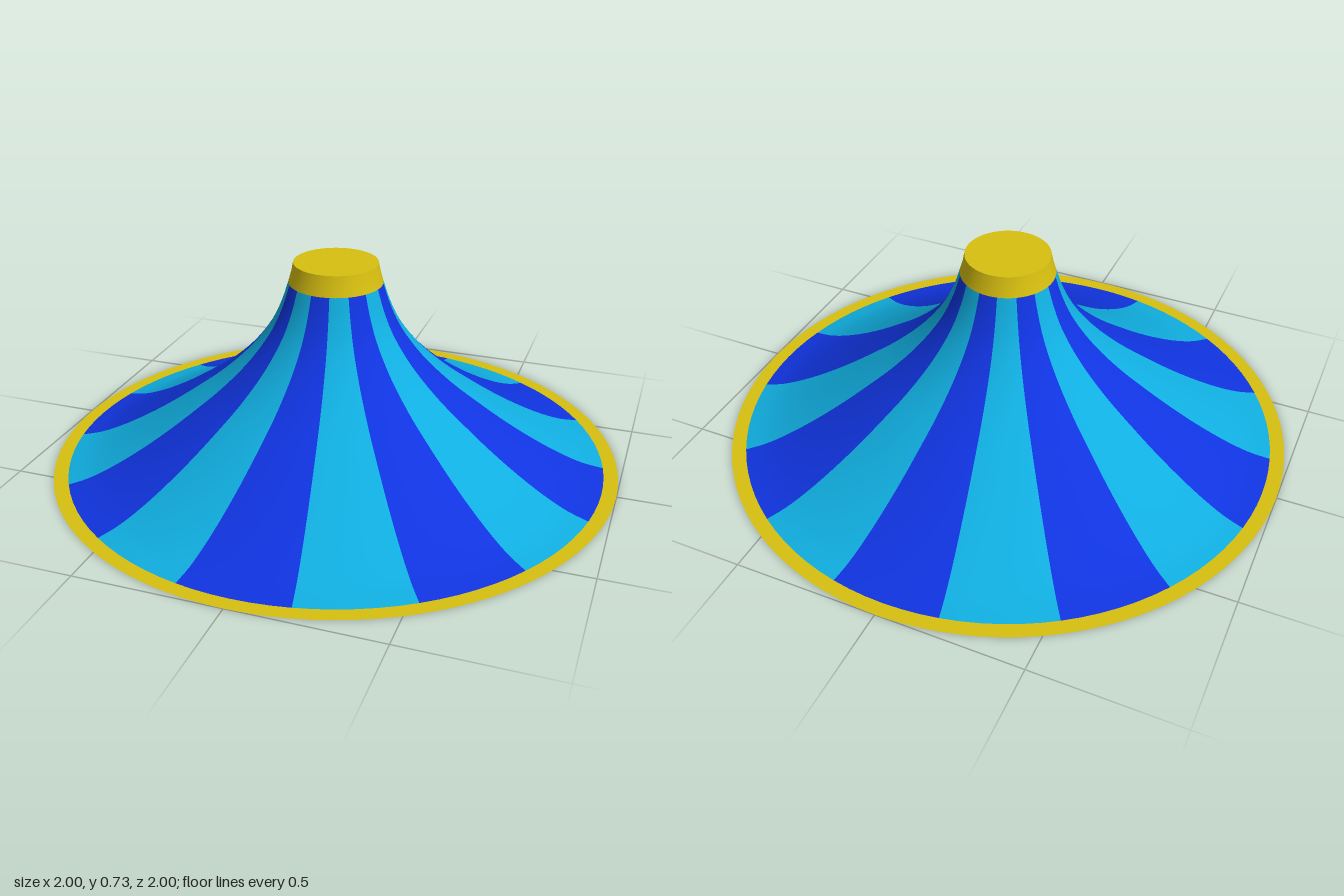
import * as THREE from 'three';

const STRIPES = 16;

function paint(color) {
  return new THREE.MeshStandardMaterial({ color, side: THREE.DoubleSide });
}

// Revolves a list of [radius, height] points, listed from the outside in
function revolve(name, points, material, segments = 96, start = 0, sweep = Math.PI * 2) {
  const profile = points.map(([r, y]) => new THREE.Vector2(r, y));
  const mesh = new THREE.Mesh(new THREE.LatheGeometry(profile, segments, start, sweep), material);
  mesh.name = name;
  return mesh;
}

export function createModel() {
  const model = new THREE.Group();
  model.name = 'stripedTentRoof';

  const darkBlue = paint(0x1034e0);
  const lightBlue = paint(0x10aee0);
  const yellow = paint(0xd8c010);

  // Sweeping canvas profile, from the flat hem up to the collar
  const canvas = new THREE.CatmullRomCurve3([
    [0.95, 0], [0.88, 0.016], [0.8, 0.048], [0.7, 0.1], [0.6, 0.161], [0.5, 0.23],
    [0.4, 0.305], [0.3, 0.4], [0.225, 0.5], [0.185, 0.585], [0.162, 0.655],
  ].map(([r, y]) => new THREE.Vector3(r, y, 0)));
  const canvasPoints = canvas.getPoints(30).map((p) => [p.x, Math.max(0, p.y)]);

  // Alternating canvas stripes; a dark one is centred on the front
  const roof = new THREE.Group();
  roof.name = 'canvas';
  const sweep = (Math.PI * 2) / STRIPES;
  for (let i = 0; i < STRIPES; i++) {
    const dark = i % 2 === 0;
    roof.add(revolve(dark ? 'darkStripe' : 'lightStripe', canvasPoints,
      dark ? darkBlue : lightBlue, 6, (i - 0.5) * sweep, sweep));
  }
  model.add(roof);

  // Flat yellow hem, tapered collar and closing cap
  model.add(revolve('hem', [[1, 0], [0.95, 0]], yellow));
  model.add(revolve('collar', [[0.162, 0.655], [0.152, 0.69], [0.145, 0.725]], yellow));
  model.add(revolve('cap', [[0.145, 0.725], [0, 0.725]], yellow));

  return model;
}
